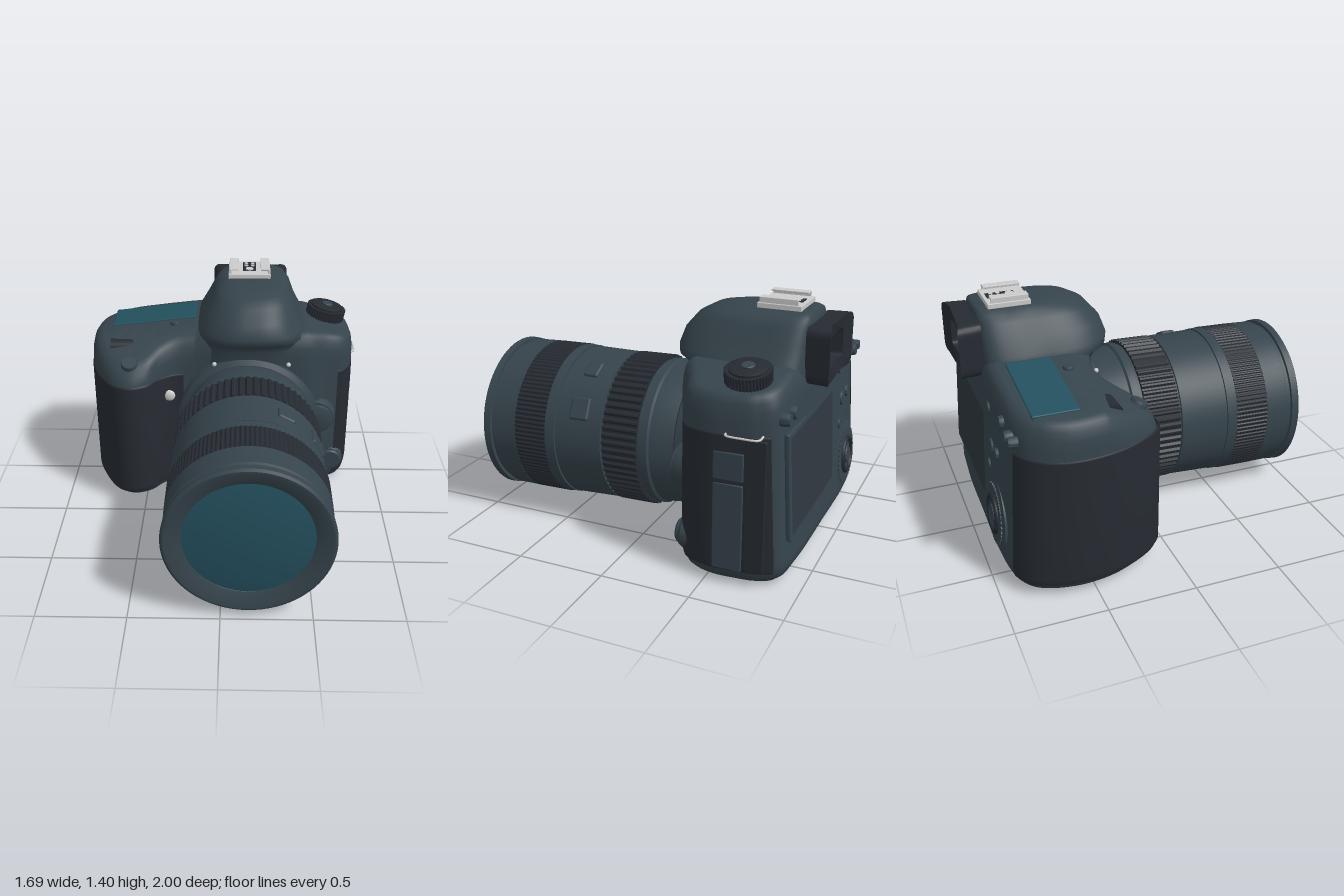
import * as THREE from 'three';
import { toCreasedNormals } from 'three/addons/utils/BufferGeometryUtils.js';
import { RoundedBoxGeometry } from 'three/addons/geometries/RoundedBoxGeometry.js';

const mat = (color, side = THREE.FrontSide) => new THREE.MeshStandardMaterial({ color, side });
const SHELL = mat(0x36444c), RUBBER = mat(0x262b32), GLASS = mat(0x24505f), METAL = mat(0xcccccc);
const GRIP = mat(0x262b32, THREE.DoubleSide);
const SCREEN = mat(0x2f3840);

// Skin through rows of points, rows running upward, points counter-clockwise from above
function loft(rows, closed = true) {
  const n = rows[0].length, pos = [], idx = [];
  rows.forEach(row => row.forEach(p => pos.push(...p)));
  for (let r = 0; r < rows.length - 1; r++)
    for (let i = 0; i < (closed ? n : n - 1); i++) {
      const a = r * n + i, b = r * n + (i + 1) % n;
      idx.push(a, b, b + n, a, b + n, a + n);
    }
  const g = new THREE.BufferGeometry();
  g.setAttribute('position', new THREE.Float32BufferAttribute(pos, 3));
  g.setIndex(idx);
  g.computeVertexNormals();
  return g;
}

// Plan of the body: back, grip side, grip front, mount, far side
const plan = new THREE.CatmullRomCurve3([
  [.78, -.8], [.72, -.9], [.5, -.935], [0, -.945], [-.4, -.945], [-.65, -.915], [-.77, -.83], [-.835, -.62],
  [-.82, -.4], [-.75, -.22], [-.66, -.1], [-.57, -.07], [-.47, -.11], [-.39, -.21], [-.3, -.27], [-.17, -.28],
  [.2, -.25], [.5, -.25], [.62, -.31], [.75, -.37], [.8, -.5], [.8, -.65],
].map(([x, z]) => new THREE.Vector3(x, 0, z)), true);
const PLAN_N = 22;

// Height of the top deck: falls towards both ends and down the grip
const deck = (x, z) => 1.1 - .12 * Math.max(0, -.17 - x) - .25 * Math.max(0, x - .5)
  - (x < -.17 ? .42 * Math.max(0, z + .42) : 0);

// Point on the body: s is the inset towards the spine, height is a rule of x and z
function bodyPoint(t, s, height) {
  const p = plan.getPoint(((t % 1) + 1) % 1);
  const sx = THREE.MathUtils.clamp(p.x, -.5, .6);
  const x = sx + (p.x - sx) * s;
  let z = -.62 + (p.z + .62) * s;
  const y = height(x, z);
  if (z < -.62) z += .055 * y * Math.min(1, (-.62 - z) / .2);
  return [x, y, z];
}

function bodyGeometry() {
  const low = [[0, .003], [.4, .003], [.66, .006], [.8, .02], [.9, .045], [.965, .085], [1, .14]];
  const high = [[1, .28], [1, .14], [.985, .085], [.95, .04], [.89, .013], [.8, 0], [.6, 0], [.4, 0], [.2, 0], [0, 0]];
  const ring = (s, h) => Array.from({ length: 176 }, (_, i) => bodyPoint(i / 176, s, h));
  return loft([
    ...low.map(([s, y]) => ring(s, () => y)),
    ...high.map(([s, d]) => ring(s, (x, z) => deck(x, z) - d)),
  ]);
}

// Rubber skin over part of the plan, between two plan point numbers
function skinGeometry(from, to, y0, y1) {
  const rows = [[.98, y0], [1.018, y0 + .04], [1.02, (y0 + y1) / 2], [1.02, y1 - .01], [.995, y1]];
  return loft(rows.map(([s, y]) => Array.from({ length: 81 }, (_, i) =>
    bodyPoint((from + (to - from) * i / 80) / PLAN_N, s, () => y))), false);
}

// Viewfinder hump: rings of [y, left edge, right edge, front, back]
function humpGeometry() {
  const rings = [
    [.6, -.22, .56, -.25, -.86], [.9, -.2, .56, -.22, -.87], [1, -.18, .53, -.22, -.88], [1.05, -.175, .51, -.185, -.88],
    [1.075, -.17, .5, -.135, -.88], [1.12, -.16, .48, -.128, -.88], [1.2, -.11, .435, -.155, -.88],
    [1.28, -.065, .405, -.225, -.88], [1.32, -.03, .37, -.3, -.875], [1.34, .02, .31, -.4, -.86],
    [1.345, .08, .24, -.5, -.8], [1.345, .16, .16, -.62, -.62],
  ];
  return loft(rings.map(([y, x0, x1, zf, zb]) => Array.from({ length: 72 }, (_, i) => {
    const a = i / 72 * Math.PI * 2, c = Math.cos(a), s = -Math.sin(a), e = s < 0 ? .35 : .75;
    const pow = v => Math.sign(v) * Math.abs(v) ** e;
    return [(x0 + x1) / 2 + pow(c) * (x1 - x0) / 2, y, (zf + zb) / 2 + pow(s) * (zf - zb) / 2];
  })));
}

// Turned part along z from [radius, z] pairs, back to front
const turned = pts => toCreasedNormals(
  new THREE.LatheGeometry(pts.map(p => new THREE.Vector2(...p)), 72).rotateX(Math.PI / 2), .5);

// Ribbed ring along z
function gear(r, teeth, depth, length) {
  const s = new THREE.Shape();
  for (let i = 0; i < teeth * 4; i++) {
    const a = i / (teeth * 4) * Math.PI * 2, q = i % 4 < 2 ? r : r - depth;
    s[i ? 'lineTo' : 'moveTo'](Math.cos(a) * q, Math.sin(a) * q);
  }
  return new THREE.ExtrudeGeometry(s, { depth: length, bevelEnabled: false });
}

// Rounded rectangle as evenly spaced points, so that its edges can be bent
function roundRect(x, y, w, h, r) {
  const p = new THREE.Path(), a = x - w / 2, b = x + w / 2, c = y - h / 2, d = y + h / 2;
  p.moveTo(a + r, c).lineTo(b - r, c).quadraticCurveTo(b, c, b, c + r).lineTo(b, d - r)
    .quadraticCurveTo(b, d, b - r, d).lineTo(a + r, d).quadraticCurveTo(a, d, a, d - r)
    .lineTo(a, c + r).quadraticCurveTo(a, c, a + r, c);
  return p.getSpacedPoints(96).slice(0, -1);
}

// Eyecup: hollow frame with a rear face curved inwards and a narrower root
function eyecupGeometry() {
  const shape = new THREE.Shape(roundRect(0, 0, .48, .3, .05));
  shape.holes.push(new THREE.Path(roundRect(0, 0, .26, .16, .03)));
  const g = new THREE.ExtrudeGeometry(shape, { depth: .13, steps: 3, bevelEnabled: false });
  const p = g.attributes.position;
  for (let i = 0; i < p.count; i++) {
    const x = p.getX(i), z = p.getZ(i);
    p.setZ(i, z + .035 * (1 - (x / .24) ** 2) * (1 - z / .13));
    p.setX(i, x * (1 - .5 * z));
  }
  g.computeVertexNormals();
  return toCreasedNormals(g, .6);
}

export function createModel() {
  const model = new THREE.Group();
  const add = (name, geo, material, x = 0, y = 0, z = 0, parent = model) => {
    const m = new THREE.Mesh(geo, material);
    m.name = name;
    m.position.set(x, y, z);
    parent.add(m);
    return m;
  };
  const box = (w, h, d, r = .01) => new RoundedBoxGeometry(w, h, d, 2, r);
  // Button with a rounded rim, facing +z
  const button = (r, h) => turned([[r, 0], [r, h * .7], [r * .88, h], [0, h]]);

  // Body and rubber skins
  add('body', bodyGeometry(), SHELL);
  add('gripRubber', skinGeometry(5, 14.4, .08, .83), GRIP);
  add('sideRubber', skinGeometry(18.6, 22.6, .08, .83), GRIP);
  add('viewfinderHump', humpGeometry(), SHELL);

  // Lens, built along z around its own slightly drooping axis
  const lens = new THREE.Group();
  lens.name = 'lens';
  lens.position.set(.147, .521, 0);
  lens.rotation.x = .024;
  model.add(lens);
  const L = (name, geo, m, z = 0) => add(name, geo, m, 0, 0, z, lens);
  L('lensMount', turned([[.44, -.32], [.43, -.23], [.4, -.21], [0, -.21]]), SHELL);
  L('lensBarrel', turned([
    [.385, -.25], [.4, -.2], [.412, -.07], [.425, -.06], [.425, -.02], [.415, -.02], [.42, .22], [.437, .22], [.444, .5],
    [.436, .5], [.436, .51], [.448, .51], [.45, .57], [.445, .57], [.445, .77], [.453, .77], [.45, .91], [.435, .92],
    [.435, .94], [.455, .94], [.458, .98], [.445, .99], [.43, .99], [.35, .955], [.34, .94]]), SHELL);
  L('zoomRing', gear(.441, 64, .012, .21), RUBBER);
  L('focusRing', gear(.453, 110, .005, .2), RUBBER, .57);
  L('frontGlass', turned([[.352, .953], [.28, .965], [.18, .975], [.08, .98], [0, .982]]), GLASS);
  // Switches on the barrel's left side
  [[.5, .13, .12], [1.08, .11, .09]].forEach(([a, w, h]) => {
    const b = add('lensSwitch', box(.03, w, h, .014), SHELL, Math.cos(a) * .437, Math.sin(a) * .437, .36, lens);
    b.rotation.z = a;
  });

  // Front controls
  add('lensReleaseHousing', button(.125, .13), SHELL, .575, .53, -.395);
  add('lensReleaseButton', button(.095, .02), SHELL, .585, .53, -.27);
  add('frontButtonRim', button(.09, .06), SHELL, .68, .19, -.39);
  add('frontButton', button(.066, .03), SHELL, .69, .195, -.34);
  add('lowerFrontButton', button(.085, .07), SHELL, -.25, .21, -.31);
  add('focusLamp', new THREE.SphereGeometry(.036, 20, 12).scale(1, 1, .5), METAL, -.34, .7, -.235);
  for (const x of [-.06, .39]) add('humpStud', new THREE.SphereGeometry(.014, 12, 8), METAL, x, .92, -.23);

  // Top deck controls
  const up = (name, geo, m, x, z, lift, tilt) => {
    add(name, geo, m, x, deck(x, z) + lift, z).rotation.x = tilt;
  };
  add('topDisplay', box(.53, .02, .25, .006), GLASS, -.445, 1.066, -.655).rotation.z = .12;
  up('shutterButton', button(.05, .045), SHELL, -.57, -.18, -.03, -1.1);
  up('topButton', button(.03, .025), SHELL, -.31, -.47, -.01, -Math.PI / 2);
  add('commandDial', new THREE.CylinderGeometry(.05, .05, .14, 24).rotateZ(Math.PI / 2), RUBBER, -.63, .975, -.35);

  const dial = new THREE.Group();
  dial.name = 'modeDial';
  dial.position.set(.625, 1.03, -.66);
  dial.rotation.set(0, 0, -.2);
  model.add(dial);
  add('modeDialBase', new THREE.CylinderGeometry(.1, .11, .06, 40), SHELL, 0, 0, 0, dial);
  add('modeDialGrip', gear(.122, 44, .006, .065).rotateX(-Math.PI / 2), RUBBER, 0, .035, 0, dial);
  add('modeDialCap', button(.1, .015).rotateX(-Math.PI / 2), RUBBER, 0, .1, 0, dial);
  add('modeDialButton', button(.035, .012).rotateX(-Math.PI / 2), SHELL, 0, .113, 0, dial);

  // Accessory shoe
  add('shoePlate', box(.26, .03, .24, .004), METAL, .15, 1.355, -.69);
  for (const s of [-1, 1]) {
    add('shoeWall', box(.012, .04, .21, .003), METAL, .15 + s * .118, 1.38, -.685);
    add('shoeRail', box(.055, .01, .21, .003), METAL, .15 + s * .096, 1.395, -.685);
  }
  add('shoeInset', box(.08, .006, .16, .002), RUBBER, .15, 1.37, -.71);
  [[0, -.66, .024], [-.02, -.72, .012], [.02, -.72, .012], [-.02, -.76, .012], [.02, -.76, .012]].forEach(([x, z, r]) =>
    add('shoeContact', new THREE.CylinderGeometry(r, r, .008, 16), METAL, .15 + x, 1.374, z));

  // Eyepiece
  add('eyecup', eyecupGeometry(), RUBBER, .16, 1.14, -1);
  add('eyepieceFrame', box(.28, .18, .03, .005), RUBBER, .16, 1.14, -.885);
  add('eyepieceGlass', box(.18, .12, .02, .005), GLASS, .16, 1.14, -.905);

  // Back panel, leaning with the rear face
  const back = new THREE.Group();
  back.name = 'backPanel';
  back.position.z = -.943;
  back.rotation.x = .055;
  model.add(back);
  const rear = (name, geo, m, x, y, z = .015) => {
    add(name, geo, m, x, y, z, back).rotation.y = Math.PI;
  };
  rear('screenFrame', box(.83, .58, .03, .01), SHELL, .28, .545, .013);
  rear('screen', box(.78, .53, .016, .005), SCREEN, .28, .545, .004);
  rear('wheelBase', button(.205, .025), SHELL, -.38, .32);
  rear('wheel', gear(.175, 36, .008, .032), SHELL, -.38, .32);
  rear('wheelRing', new THREE.TorusGeometry(.1, .016, 10, 40), RUBBER, -.38, .32, -.018);
  rear('wheelButton', button(.055, .045), SHELL, -.38, .32);
  [[.71, .92, .035], [.6, .92, .035], [-.25, .9, .035], [-.31, .7, .045], [-.42, .71, .035], [-.25, .56, .032],
    [-.51, .94, .035], [-.62, .91, .035], [-.7, .92, .03]].forEach(([x, y, r]) =>
    rear('rearButton', button(r, .05), SHELL, x, y, .035));

  // Port covers and strap lug on the left side
  add('upperPortCover', box(.02, .15, .16, .006), SHELL, .803, .665, -.625);
  add('lowerPortCover', box(.02, .48, .16, .006), SHELL, .803, .33, -.625);
  add('rearPortCover', box(.02, .72, .11, .006), RUBBER, .793, .46, -.765);
  const lug = new THREE.CatmullRomCurve3([[.77, -.79], [.825, -.785], [.835, -.7], [.825, -.615], [.77, -.61]]
    .map(([x, z]) => new THREE.Vector3(x, .835, z)));
  add('strapLug', new THREE.TubeGeometry(lug, 24, .006, 8), METAL);

  return model;
}
